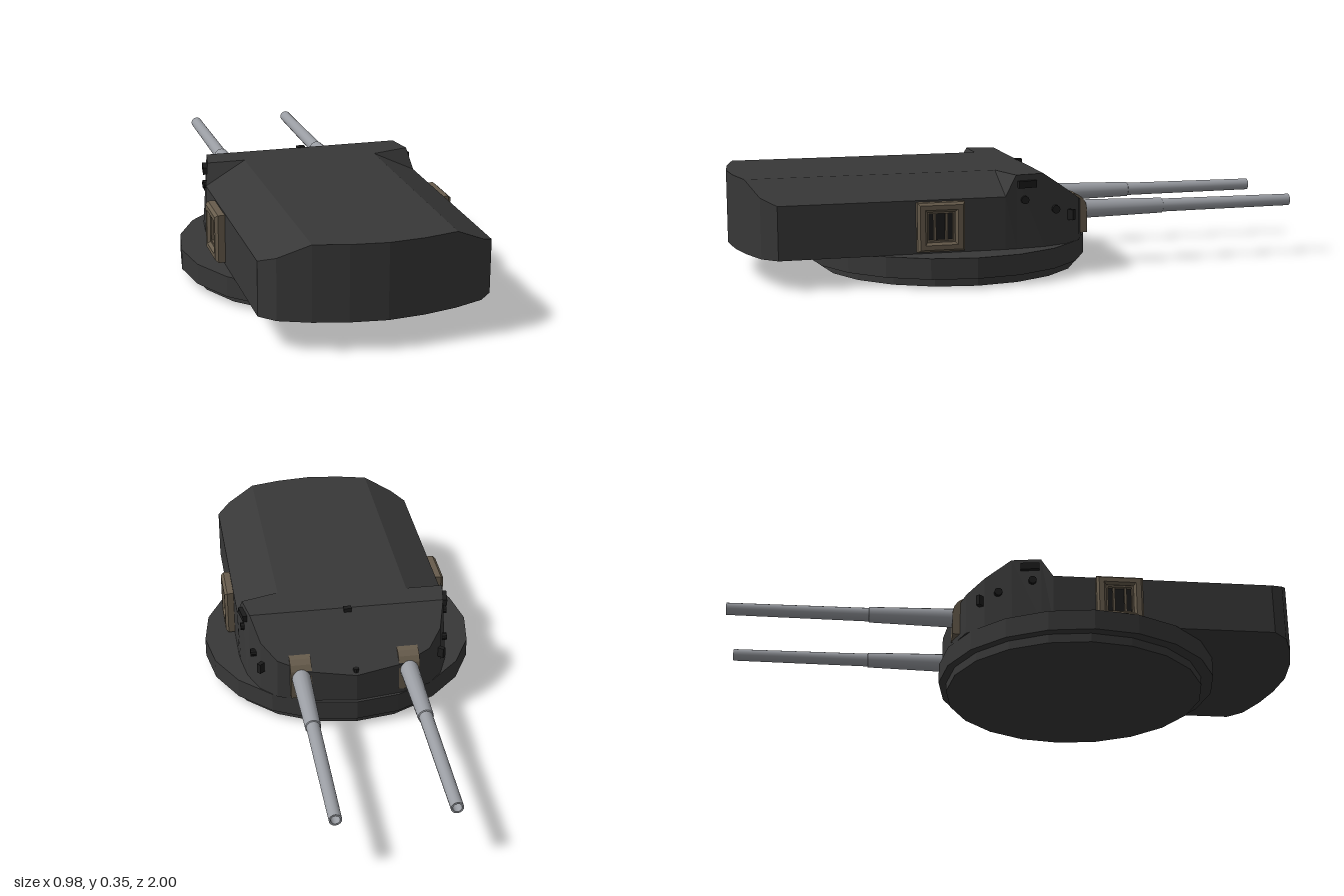
import * as THREE from 'three';

const mat = (name, color, side = THREE.FrontSide) => {
  const m = new THREE.MeshStandardMaterial({ color, flatShading: true, side });
  m.name = name;
  return m;
};

// Hull: cross-sections lofted from rear to gun face
// [z, bottom half-width, shoulder half-width, shoulder y, roof half-width, roof y]
const SECTIONS = [
  [1.0, 0, 0, 0.35, 0, 0.35],
  [0.987, 0.12, 0.12, 0.35, 0.12, 0.35],
  [0.96, 0.23, 0.23, 0.35, 0.23, 0.35],
  [0.92, 0.33, 0.33, 0.302, 0.23, 0.35],
  [0.87, 0.377, 0.377, 0.28, 0.23, 0.35],
  [0.11, 0.377, 0.377, 0.28, 0.23, 0.35],
  [0.07, 0.374, 0.362, 0.35, 0.23, 0.35],
  [-0.03, 0.36, 0.345, 0.35, 0.22, 0.35],
  [-0.12, 0.325, 0.318, 0.289, 0.2, 0.289],
  [-0.18, 0.27, 0.268, 0.248, 0.17, 0.248],
  [-0.22, 0.17, 0.17, 0.221, 0.1, 0.221],
  [-0.245, 0, 0, 0.204, 0, 0.204],
];

function hullGeometry() {
  const loops = SECTIONS.map(([z, w, ws, ys, wr, yr]) =>
    [[w, 0.1], [ws, ys], [wr, yr], [-wr, yr], [-ws, ys], [-w, 0.1]].map(([x, y]) => [x, y, z]));
  const pos = [];
  for (let s = 0; s < loops.length - 1; s++) {
    const a = loops[s], b = loops[s + 1];
    for (let i = 0; i < 6; i++) {
      const j = (i + 1) % 6;
      pos.push(...a[i], ...b[i], ...a[j], ...a[j], ...b[i], ...b[j]);
    }
  }
  const g = new THREE.BufferGeometry();
  g.setAttribute('position', new THREE.Float32BufferAttribute(pos, 3));
  g.computeVertexNormals();
  return g;
}

function rect(target, w, h) {
  target.moveTo(-w / 2, -h / 2);
  target.lineTo(w / 2, -h / 2);
  target.lineTo(w / 2, h / 2);
  target.lineTo(-w / 2, h / 2);
  target.closePath();
  return target;
}

export function createModel() {
  const model = new THREE.Group();
  model.name = 'gunTurret';
  const armour = mat('dark armour', 0x383838);
  const brown = mat('brown fittings', 0x675c4c);
  const dark = mat('black openings', 0x1c1c1c);
  const steel = mat('gun steel', 0x9a9da3, THREE.DoubleSide);
  steel.flatShading = false;

  const add = (parent, name, geo, material, x = 0, y = 0, z = 0) => {
    const m = new THREE.Mesh(geo, material);
    m.name = name;
    m.position.set(x, y, z);
    parent.add(m);
    return m;
  };

  // Rotating base
  add(model, 'baseRing', new THREE.CylinderGeometry(0.49, 0.49, 0.07, 20), armour, 0, 0.066, 0.233);
  add(model, 'baseFoot', new THREE.CylinderGeometry(0.455, 0.455, 0.032, 20), armour, 0, 0.016, 0.225);

  add(model, 'hull', hullGeometry(), armour);

  // Roof knobs
  add(model, 'roofSight', new THREE.BoxGeometry(0.028, 0.014, 0.02), dark, 0, 0.347, -0.035);
  add(model, 'frontKnob', new THREE.CylinderGeometry(0.01, 0.01, 0.014, 8), dark, 0, 0.217, -0.228);

  // Barrel profile: outer surface, muzzle lip, then bore
  const barrel = new THREE.LatheGeometry([
    [0.034, 0.17], [0.027, 0.51], [0.027, 0.51], [0.0235, 0.512], [0.0235, 0.512],
    [0.021, 1], [0.021, 1], [0.015, 1], [0.015, 1], [0.015, 0.95], [0, 0.95],
  ].map(([r, l]) => new THREE.Vector2(r, l)), 16);
  barrel.rotateX(-Math.PI / 2);

  const frame = rect(new THREE.Shape(), 0.144, 0.149);
  frame.holes.push(rect(new THREE.Path(), 0.11, 0.118));
  const frameGeo = new THREE.ExtrudeGeometry(frame, {
    depth: 0.024, bevelEnabled: true, bevelThickness: 0.01, bevelSize: 0.008, bevelSegments: 1,
  });
  const inner = rect(new THREE.Shape(), 0.11, 0.118);
  inner.holes.push(rect(new THREE.Path(), 0.082, 0.09));
  const innerGeo = new THREE.ExtrudeGeometry(inner, { depth: 0.022, bevelEnabled: false });

  for (const [side, s] of [['left', 1], ['right', -1]]) {
    // Gun and its mantlet
    add(model, side + 'Barrel', barrel, steel, s * 0.19, 0.195, 0);
    const drum = add(model, side + 'MantletDrum', new THREE.CylinderGeometry(0.058, 0.058, 0.074, 16), brown, s * 0.19, 0.2, -0.165);
    drum.rotation.z = Math.PI / 2;
    add(model, side + 'MantletBlock', new THREE.BoxGeometry(0.074, 0.085, 0.09), brown, s * 0.19, 0.16, -0.178);

    // Framed side hatch
    const hatch = new THREE.Group();
    hatch.name = side + 'Hatch';
    hatch.position.set(s * 0.376, 0.192, 0.335);
    hatch.rotation.y = s * Math.PI / 2;
    add(hatch, 'hatchFrame', frameGeo, brown);
    add(hatch, 'hatchInnerFrame', innerGeo, brown);
    add(hatch, 'hatchOpening', new THREE.BoxGeometry(0.086, 0.094, 0.008), dark, 0, 0, 0.004);
    for (const x of [-0.02, 0.02])
      add(hatch, 'hatchBar', new THREE.BoxGeometry(0.008, 0.09, 0.014), brown, x, 0, 0.01);
    model.add(hatch);

    // Sight slots and ports on the cheeks: [x, y, z, length, height, yaw]
    for (const [x, y, z, l, h, yaw] of [
      [0.361, 0.318, 0.032, 0.065, 0.024, 0.15],
      [0.322, 0.2, -0.137, 0.016, 0.036, 0.72],
    ]) {
      const slot = add(model, side + 'SightSlot', new THREE.BoxGeometry(0.022, h, l), dark, s * x, y, z);
      slot.rotation.y = s * yaw;
    }
    for (const [x, y, z] of [[0.362, 0.265, 0.04], [0.34, 0.225, -0.075]]) {
      const port = add(model, side + 'Port', new THREE.CylinderGeometry(0.014, 0.014, 0.022, 10), dark, s * x, y, z);
      port.rotation.z = Math.PI / 2;
    }
  }
  return model;
}
